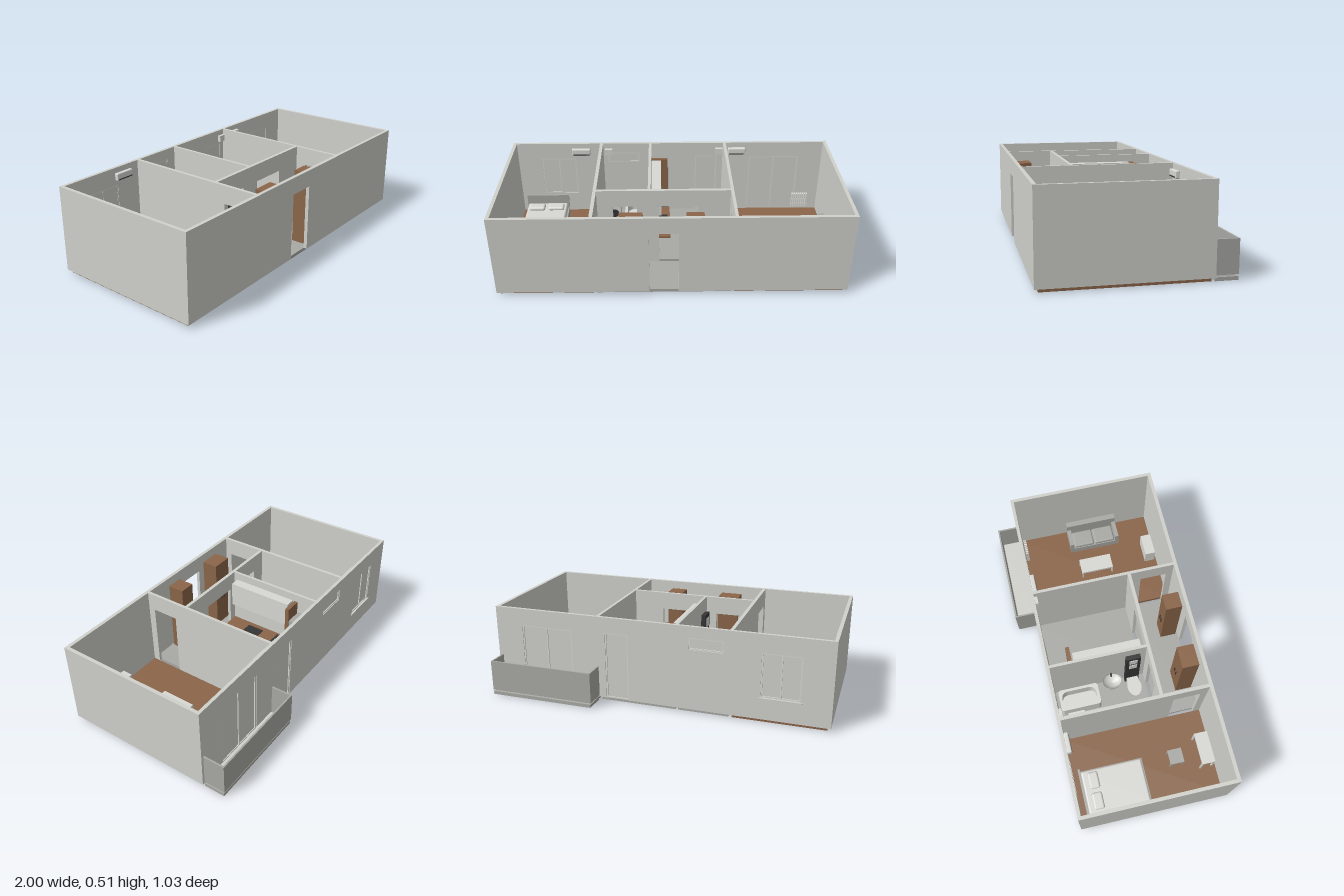
import * as THREE from 'three';
import { RoundedBoxGeometry } from 'three/addons/geometries/RoundedBoxGeometry.js';

const mat = (name, color) => {
  const m = new THREE.MeshStandardMaterial({ color });
  m.name = name;
  return m;
};

export function createModel() {
  const root = new THREE.Group();
  root.name = 'apartment';
  const plaster = mat('plaster', 0xd0d1cb);
  const stone = mat('stone grey', 0xa9aaa5);
  const wood = mat('wood brown', 0x8a6549);
  const white = mat('furniture white', 0xd8d9d4);
  const dark = mat('dark trim', 0x363636);

  const group = (name) => {
    const g = new THREE.Group();
    g.name = name;
    root.add(g);
    return g;
  };
  const add = (g, name, geo, m) => {
    const mesh = new THREE.Mesh(geo, m);
    mesh.name = name;
    g.add(mesh);
    return mesh;
  };
  // Box given by its limits on x, y and z
  const box = (g, name, m, x0, x1, y0, y1, z0, z1) => {
    const b = add(g, name, new THREE.BoxGeometry(x1 - x0, y1 - y0, z1 - z0), m);
    b.position.set((x0 + x1) / 2, (y0 + y1) / 2, (z0 + z1) / 2);
    return b;
  };
  const softBox = (g, name, m, x0, x1, y0, y1, z0, z1, r) => {
    const b = add(g, name, new RoundedBoxGeometry(x1 - x0, y1 - y0, z1 - z0, 3, r), m);
    b.position.set((x0 + x1) / 2, (y0 + y1) / 2, (z0 + z1) / 2);
    return b;
  };
  const table = (name, m, x0, x1, h, z0, z1) => {
    const g = group(name);
    box(g, 'tabletop', m, x0, x1, h - 0.015, h, z0, z1);
    for (const x of [x0, x1 - 0.01]) for (const z of [z0, z1 - 0.01])
      box(g, 'leg', m, x, x + 0.01, 0.02, h - 0.015, z, z + 0.01);
  };

  // Floors of the five rooms
  const floors = group('floors');
  box(floors, 'bedroomFloor', wood, -0.98, -0.45, 0, 0.02, -0.37, 0.492);
  box(floors, 'livingRoomFloor', wood, 0.355, 0.98, 0, 0.02, -0.37, 0.492);
  box(floors, 'bathroomFloor', stone, -0.43, -0.137, 0, 0.02, -0.37, 0.205);
  box(floors, 'kitchenFloor', stone, -0.12, 0.337, 0, 0.02, -0.37, 0.205);
  box(floors, 'hallFloor', stone, -0.43, 0.337, 0, 0.02, 0.225, 0.492);

  // Walls: each is split around its openings [start, end, bottom, top]
  const walls = group('walls');
  const LOW = 0.02, TOP = 0.515;
  const wall = (name, alongX, t0, t1, from, to, openings = []) => {
    const piece = (a, b, y0, y1) => {
      if (b - a < 0.001 || y1 - y0 < 0.001) return;
      if (alongX) box(walls, name, plaster, a, b, y0, y1, t0, t1);
      else box(walls, name, plaster, t0, t1, y0, y1, a, b);
    };
    let at = from;
    for (const [a, b, y0, y1] of openings) {
      piece(at, a, LOW, TOP);
      piece(a, b, LOW, y0);
      piece(a, b, y1, TOP);
      at = b;
    }
    piece(at, to, LOW, TOP);
  };
  const backOpenings = [
    [-0.83, -0.61, 0.15, 0.41], [-0.4, -0.2, 0.38, 0.45],
    [0.16, 0.3, LOW, 0.425], [0.51, 0.83, LOW, 0.415],
  ];
  wall('frontWall', true, 0.492, 0.513, -1, 1, [[-0.13, 0.035, LOW, 0.415]]);
  wall('backWall', true, -0.387, -0.368, -1, 1, backOpenings);
  wall('rightWall', false, -1, -0.98, -0.368, 0.492);
  wall('leftWall', false, 0.98, 1, -0.368, 0.492);
  wall('bedroomWall', false, -0.45, -0.43, -0.368, 0.492, [[0.29, 0.45, LOW, 0.41]]);
  wall('livingRoomWall', false, 0.337, 0.355, -0.368, 0.492, [[0.29, 0.45, LOW, 0.41]]);
  wall('bathroomWall', false, -0.137, -0.12, -0.368, 0.205);
  wall('hallWall', true, 0.205, 0.225, -0.43, 0.337,
    [[-0.34, -0.2, LOW, 0.41], [-0.075, 0.15, LOW, 0.41]]);

  // Recessed panes and slim frames in the back wall
  const panes = group('backWindows');
  backOpenings.forEach(([a, b, y0, y1], i) => {
    box(panes, 'pane', plaster, a, b, y0, y1, -0.377, -0.371);
    const w = 0.008;
    for (const x of i === 0 || i === 3 ? [a, (a + b - w) / 2, b - w] : [a, b - w])
      box(panes, 'frameUpright', white, x, x + w, y0, y1, -0.383, -0.37);
    for (const y of [y0, y1 - w]) box(panes, 'frameRail', white, a, b, y, y + w, -0.382, -0.37);
  });
  box(panes, 'windowSill', plaster, -0.84, -0.6, 0.142, 0.15, -0.395, -0.368);

  // Balcony
  const balcony = group('balcony');
  box(balcony, 'slab', stone, 0.35, 0.985, 0, 0.02, -0.51, -0.387);
  box(balcony, 'deckTrim', plaster, 0.36, 0.975, 0.02, 0.03, -0.5, -0.387);
  box(balcony, 'parapetFront', stone, 0.345, 0.985, 0.03, 0.213, -0.513, -0.503);
  for (const x of [0.345, 0.975])
    box(balcony, 'parapetSide', stone, x, x + 0.01, 0.03, 0.213, -0.503, -0.387);

  // Bed
  const bed = group('bed');
  box(bed, 'bedFrame', stone, -0.945, -0.672, 0.02, 0.065, -0.325, 0.06);
  box(bed, 'headboard', stone, -0.945, -0.672, 0.065, 0.16, -0.335, -0.322);
  softBox(bed, 'mattress', white, -0.938, -0.68, 0.06, 0.105, -0.32, 0.052, 0.012);
  for (const x of [-0.92, -0.797])
    softBox(bed, 'pillow', white, x, x + 0.1, 0.1, 0.125, -0.285, -0.222, 0.012);

  // Desk and chair, coffee table, television stand
  table('desk', white, -0.81, -0.62, 0.16, 0.395, 0.475);
  table('chair', stone, -0.76, -0.672, 0.1, 0.22, 0.305);
  table('coffeeTable', white, 0.615, 0.715, 0.09, -0.025, 0.185);
  box(group('televisionStand'), 'cabinet', white, 0.64, 0.782, 0.02, 0.12, 0.415, 0.48);

  // Sofa facing the coffee table
  const sofa = group('sofa');
  box(sofa, 'sofaBase', stone, 0.815, 0.965, 0.025, 0.07, 0.0 - 0.06, 0.27);
  box(sofa, 'sofaBack', stone, 0.93, 0.965, 0.07, 0.17, -0.06, 0.27);
  for (const z of [-0.06, 0.245])
    box(sofa, 'armrest', stone, 0.815, 0.95, 0.07, 0.125, z, z + 0.025);
  for (const z of [-0.032, 0.108])
    softBox(sofa, 'cushion', stone, 0.818, 0.928, 0.068, 0.095, z, z + 0.134, 0.01);

  // Hall wardrobes
  for (const [a, b] of [[-0.295, -0.163], [0.08, 0.178]]) {
    const g = group('wardrobe');
    box(g, 'wardrobeBody', wood, a, b, 0.02, 0.47, 0.38, 0.48);
    for (const s of [-0.012, 0.012])
      box(g, 'handle', dark, (a + b) / 2 + s - 0.002, (a + b) / 2 + s + 0.002, 0.2, 0.25, 0.374, 0.38);
  }

  // Kitchen run
  const kitchen = group('kitchen');
  box(kitchen, 'refrigerator', stone, -0.118, -0.012, 0.02, 0.4, -0.362, -0.262);
  box(kitchen, 'tallPanel', wood, -0.118, -0.018, 0.02, 0.47, -0.255, -0.232);
  box(kitchen, 'lowerCabinets', white, -0.118, -0.015, 0.02, 0.172, -0.23, 0.19);
  box(kitchen, 'worktop', wood, -0.118, -0.008, 0.172, 0.184, -0.23, 0.2);
  box(kitchen, 'upperCabinets', white, -0.118, -0.06, 0.32, 0.47, -0.222, 0.18);
  box(kitchen, 'hob', dark, -0.1, -0.008, 0.184, 0.189, -0.22, -0.13);
  box(kitchen, 'ovenDoor', dark, -0.015, -0.009, 0.06, 0.165, -0.215, -0.135);
  box(kitchen, 'sinkBasin', dark, -0.085, -0.022, 0.184, 0.188, -0.035, 0.07);
  for (const z of [-0.2, -0.152]) for (const x of [-0.05, -0.022]) {
    const burner = add(kitchen, 'burner', new THREE.CylinderGeometry(0.009, 0.009, 0.003, 16), stone);
    burner.position.set(x, 0.19, z);
  }

  // Bathtub: a rounded rim with an open well
  const bath = group('bathroom');
  const oval = (T, w, l, r) => {
    const s = new T();
    s.moveTo(-w + r, -l);
    s.lineTo(w - r, -l);
    s.quadraticCurveTo(w, -l, w, -l + r);
    s.lineTo(w, l - r);
    s.quadraticCurveTo(w, l, w - r, l);
    s.lineTo(-w + r, l);
    s.quadraticCurveTo(-w, l, -w, l - r);
    s.lineTo(-w, -l + r);
    s.quadraticCurveTo(-w, -l, -w + r, -l);
    return s;
  };
  const tubShape = oval(THREE.Shape, 0.067, 0.125, 0.02);
  tubShape.holes.push(oval(THREE.Path, 0.05, 0.108, 0.045));
  const tub = add(bath, 'bathtub',
    new THREE.ExtrudeGeometry(tubShape, { depth: 0.1, bevelEnabled: false, curveSegments: 8 }), white);
  tub.rotation.x = -Math.PI / 2;
  tub.position.set(-0.228, 0.02, -0.225);
  box(bath, 'bathtubFloor', white, -0.285, -0.17, 0.022, 0.04, -0.34, -0.11);

  // Washing machine
  box(bath, 'washingMachine', white, -0.405, -0.325, 0.02, 0.16, -0.315, -0.215);
  const port = add(bath, 'washerDoor', new THREE.CylinderGeometry(0.028, 0.028, 0.006, 24), dark);
  port.rotation.x = Math.PI / 2;
  port.position.set(-0.365, 0.085, -0.213);

  // Washbasin
  const bowl = [[0.012, 0], [0.035, 0.012], [0.052, 0.045], [0.046, 0.045], [0.03, 0.018], [0, 0.012]]
    .map(([x, y]) => new THREE.Vector2(x, y));
  const basin = add(bath, 'washbasin', new THREE.LatheGeometry(bowl, 28), white);
  basin.scale.set(0.95, 1, 1.15);
  basin.position.set(-0.19, 0.13, -0.008);
  box(bath, 'basinStand', white, -0.2, -0.16, 0.02, 0.135, -0.03, 0.014);
  box(bath, 'tap', dark, -0.16, -0.142, 0.17, 0.195, -0.013, -0.003);

  // Toilet with a dark wall unit behind it
  const seat = add(bath, 'toiletBowl', new THREE.CylinderGeometry(0.044, 0.026, 0.07, 28), white);
  seat.scale.x = 1.4;
  seat.position.set(-0.228, 0.056, 0.125);
  box(bath, 'toiletBase', white, -0.22, -0.165, 0.02, 0.09, 0.09, 0.16);
  box(bath, 'wallUnit', dark, -0.165, -0.138, 0.02, 0.43, 0.08, 0.168);
  for (const y of [0.27, 0.35])
    box(bath, 'wallUnitPanel', white, -0.169, -0.165, y, y + 0.055, 0.1, 0.148);

  // Heaters and air conditioners on the back wall
  for (const [a, b] of [[-0.63, -0.512], [0.37, 0.482]]) {
    const g = group('airConditioner');
    softBox(g, 'unitBody', white, a, b, 0.44, 0.485, -0.368, -0.342, 0.006);
    box(g, 'airSlot', dark, a + 0.008, b - 0.008, 0.446, 0.452, -0.345, -0.34);
  }
  box(group('bathroomVent'), 'ventBox', white, -0.42, -0.372, 0.44, 0.48, -0.368, -0.35);
  box(group('kitchenVent'), 'ventBox', white, 0.288, 0.334, 0.44, 0.48, -0.368, -0.35);
  const radiator = group('radiator');
  for (let i = 0; i < 8; i++) {
    const x = 0.812 + i * 0.0135;
    box(radiator, 'radiatorFin', white, x, x + 0.009, 0.04, 0.14, -0.365, -0.346);
  }
  box(radiator, 'radiatorPipe', white, 0.81, 0.92, 0.05, 0.06, -0.36, -0.352);

  return root;
}
